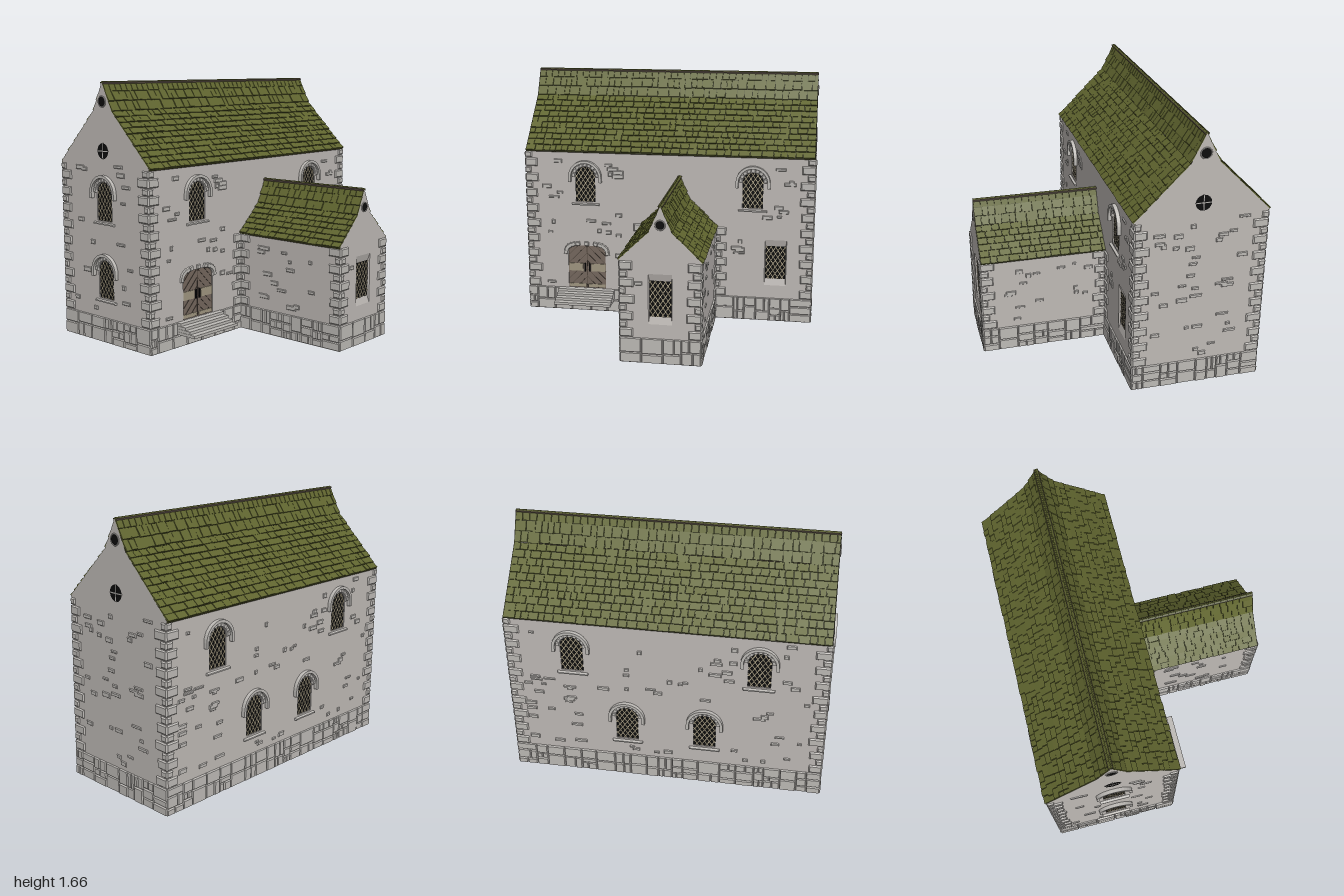
import * as THREE from 'three';
import { mergeGeometries } from 'three/addons/utils/BufferGeometryUtils.js';

const mat = (name, color, side = THREE.FrontSide) => {
  const m = new THREE.MeshStandardMaterial({ color, side });
  m.name = name;
  return m;
};
const M = {
  wall: mat('plaster', 0xbeb9b5, THREE.DoubleSide),
  stone: mat('stone', 0xbdbab6),
  tile: mat('roofTile', 0x60652f),
  under: mat('roofUnderlay', 0x4a4d26),
  soffit: mat('roofBoards', 0x6b5d52),
  glass: mat('darkGlass', 0x0c0c0c, THREE.DoubleSide),
  lead: mat('lattice', 0xb3a88c),
  door: mat('doorWood', 0x75685e, THREE.DoubleSide),
  seam: mat('doorSeam', 0x51463e),
  hinge: mat('hingeBand', 0xa09680),
};

let seed = 7;
const rnd = (a = 0, b = 1) => {
  seed = (seed * 16807) % 2147483647;
  return a + (b - a) * (seed / 2147483647);
};

function add(parent, name, list, material) {
  if (!list.length) return;
  const mesh = new THREE.Mesh(mergeGeometries(list), material);
  mesh.name = name;
  parent.add(mesh);
}

// Block lying on a wall: front face pulled in by a bevel
function block(u, v, w, h, d, angle = 0, n = 0.001, bevel = 0.004) {
  const g = new THREE.BoxGeometry(w, h, d), p = g.attributes.position;
  for (let i = 0; i < p.count; i++) if (p.getZ(i) > 0) {
    p.setX(i, p.getX(i) - Math.sign(p.getX(i)) * Math.min(bevel, w / 4));
    p.setY(i, p.getY(i) - Math.sign(p.getY(i)) * Math.min(bevel, h / 4));
  }
  g.computeVertexNormals();
  return g.rotateZ(angle).translate(u, v, n + d / 2);
}
// Thin bar set through a pane, so it shows on both sides
const bar = (u, v, w, h, d, angle, n) => new THREE.BoxGeometry(w, h, d).rotateZ(angle).translate(u, v, n);

const shapeOf = pts => new THREE.Shape(pts.map(p => new THREE.Vector2(p[0], p[1])));
const rect = (u0, u1, v0, v1) => [[u0, v0], [u1, v0], [u1, v1], [u0, v1]];
function arch(u, v, w, h, ry, power = 1) {
  const pts = [[u - w, v], [u + w, v]];
  for (let i = 0; i <= 14; i++) {
    const a = Math.PI * i / 14, c = Math.cos(a);
    pts.push([u + w * Math.sign(c) * Math.abs(c) ** power, v + h + ry * Math.abs(Math.sin(a)) ** power]);
  }
  return pts;
}
const inside = (pts, x, y) => pts.every((p, i) => {
  const q = pts[(i + 1) % pts.length];
  return (q[0] - p[0]) * (y - p[1]) - (q[1] - p[1]) * (x - p[0]) >= -1e-9;
});

// Parallel strips clipped to a convex outline
function strips(pts, angle, spacing, width, n) {
  const out = [], c = Math.cos(angle), s = Math.sin(angle);
  const cx = (pts[0][0] + pts[1][0]) / 2, cy = pts[0][1] + 0.13;
  for (let k = -12; k <= 12; k++) {
    const ox = cx - s * k * spacing, oy = cy + c * k * spacing;
    let t0 = 1, t1 = -1;
    for (let t = -0.4; t < 0.4; t += 0.003) if (inside(pts, ox + c * t, oy + s * t)) {
      t0 = Math.min(t0, t); t1 = Math.max(t1, t);
    }
    if (t1 - t0 > 0.01) out.push(bar(ox + c * (t0 + t1) / 2, oy + s * (t0 + t1) / 2, t1 - t0, width, 0.005, angle, n));
  }
  return out;
}

// Recess: reveal lofted from the wall opening to the pane
function recess(g, outer, inner, depth, material) {
  const pos = [], idx = [], k = outer.length;
  for (let i = 0; i < k; i++) {
    const j = (i + 1) % k;
    pos.push(...outer[i], 0, ...outer[j], 0, ...inner[j], -depth, ...inner[i], -depth);
    idx.push(4 * i, 4 * i + 1, 4 * i + 2, 4 * i, 4 * i + 2, 4 * i + 3);
  }
  const geo = new THREE.BufferGeometry();
  geo.setAttribute('position', new THREE.Float32BufferAttribute(pos, 3));
  geo.setIndex(idx);
  geo.computeVertexNormals();
  add(g, 'reveal', [geo], M.wall);
  add(g, 'pane', [new THREE.ShapeGeometry(shapeOf(inner)).translate(0, 0, -depth)], material);
}
const lattice = (g, pts, n) =>
  add(g, 'lattice', [...strips(pts, 0.98, 0.026, 0.005, n), ...strips(pts, -0.98, 0.026, 0.005, n)], M.lead);

const openings = {
  // Arched window with hood, voussoirs and sill
  arched(g, u, v) {
    const pts = arch(u, v, 0.069, 0.175, 0.069), top = v + 0.175, hood = [], stones = [];
    recess(g, pts, pts, 0.008, M.glass);
    lattice(g, pts, -0.008);
    const arc = (r, a) => [u + r * Math.cos(a), top + r * Math.sin(a)];
    hood.push([u + 0.097, top - 0.035], [u + 0.115, top - 0.035]);
    for (let i = 0; i <= 16; i++) hood.push(arc(0.115, Math.PI * i / 16));
    hood.push([u - 0.115, top - 0.035], [u - 0.097, top - 0.035]);
    for (let i = 16; i >= 0; i--) hood.push(arc(0.097, Math.PI * i / 16));
    add(g, 'hood', [new THREE.ExtrudeGeometry(shapeOf(hood), { depth: 0.024, bevelEnabled: false })], M.stone);
    for (let i = 0; i < 9; i++) {
      const a = Math.PI * (i + 0.5) / 9;
      stones.push(block(...arc(0.083, a), 0.026, 0.029, 0.01, a));
    }
    stones.push(block(u, v - 0.018, 0.195, 0.016, 0.016));
    add(g, 'windowStones', stones, M.stone);
    return { hole: pts, avoid: [u - 0.12, u + 0.12, v - 0.03, v + 0.3] };
  },
  // Tall window with sloping sill and head
  tall(g, u, v) {
    const outer = rect(u - 0.073, u + 0.073, v, v + 0.32), inner = rect(u - 0.067, u + 0.067, v + 0.045, v + 0.275);
    recess(g, outer, inner, 0.012, M.glass);
    lattice(g, inner, -0.012);
    return { hole: outer, avoid: [u - 0.08, u + 0.08, v - 0.02, v + 0.4] };
  },
  // Double door with hinge bands and handles
  door(g, u, v) {
    const w = 0.133, n = -0.008, pts = arch(u, v, w, 0.235, 0.075, 0.6), stones = [];
    recess(g, pts, pts, 0.008, M.door);
    const half = s => pts.map(p => [s > 0 ? Math.max(p[0], u) : Math.min(p[0], u), p[1]]);
    add(g, 'doorPlanks', [...strips(half(-1), 0.8, 0.04, 0.003, n), ...strips(half(1), -0.8, 0.04, 0.003, n),
      bar(u, v + 0.15, 0.005, 0.3, 0.006, 0, n)], M.seam);
    add(g, 'hingeBands', [-1, 1].flatMap(s => [bar(u + s * 0.08, v + 0.15, 0.1, 0.055, 0.008, 0, n),
      bar(u + s * 0.068, v + 0.018, 0.12, 0.022, 0.008, 0, n)]), M.hinge);
    add(g, 'doorHandles', [-1, 1].map(s => bar(u + s * 0.016, v + 0.15, 0.009, 0.06, 0.016, 0, n)), M.glass);
    for (let i = 0; i < 13; i++) {
      const a = Math.PI * (i + 0.5) / 13, c = Math.cos(a);
      stones.push(block(u + (w + 0.014) * Math.sign(c) * Math.abs(c) ** 0.6, v + 0.235 + 0.089 * Math.sin(a) ** 0.6, 0.03, 0.032, 0.01, a));
    }
    add(g, 'doorArch', stones, M.stone);
    return { hole: pts, avoid: [u - 0.18, u + 0.18, v, v + 0.36] };
  },
  // Round gable window
  round(g, u, v, r, cross) {
    add(g, 'roundPane', [new THREE.CircleGeometry(r, 24).translate(u, v, 0.003)], M.glass);
    if (cross) add(g, 'roundCross', [0, Math.PI / 2].map(a => bar(u, v, 2 * r, 0.006, 0.006, a, 0.003)), M.stone);
    else add(g, 'roundRim', [new THREE.TorusGeometry(r + 0.003, 0.004, 6, 24).translate(u, v, 0.002)], M.stone);
    return { avoid: [u - r, u + r, v - r, v + r] };
  },
};

// One wall in its own plane: x along, y up, z outward
function wall(parent, name, x, z, turn, { outline, items = [], spans, quoins, height }) {
  const g = new THREE.Group();
  g.name = name;
  g.position.set(x, 0, z);
  g.rotation.y = turn;
  parent.add(g);
  const shape = shapeOf(outline), keepOut = [];
  for (const [kind, ...args] of items) {
    const o = openings[kind](g, ...args);
    if (o.hole) shape.holes.push(new THREE.Path(o.hole.map(p => new THREE.Vector2(...p))));
    keepOut.push(o.avoid);
  }
  add(g, 'wallFace', [new THREE.ShapeGeometry(shape)], M.wall);
  const plinth = [], corner = [], bricks = [];
  for (const [a, b] of spans) {
    // Plinth of uneven stones, two or three high
    for (let u = a - 0.007; u < b;) {
      let w = rnd(0.06, 0.14);
      if (u + w > b - 0.05) w = b + 0.007 - u;
      const rows = rnd() < 0.5 ? [0, rnd(0.06, 0.1), 0.165] : [0, rnd(0.04, 0.06), rnd(0.09, 0.12), 0.165];
      for (let r = 0; r < rows.length - 1; r++) {
        const h = rows[r + 1] - rows[r], cut = rnd() < 0.4 ? rnd(0.35, 0.65) * w : w;
        for (const [c0, c1] of cut < w ? [[0, cut], [cut, w]] : [[0, w]])
          plinth.push(block(u + (c0 + c1) / 2, rows[r] + h / 2, c1 - c0 - 0.003, h - 0.003, rnd(0.007, 0.012)));
      }
      u += w;
    }
    // Scattered bricks
    const count = Math.round((b - a) * (height - 0.2) * 42);
    for (let i = 0; i < count; i++) {
      const u = rnd(a + 0.11, b - 0.11), v = rnd(0.2, height - 0.04), w = rnd(0.025, 0.08), h = rnd(0.016, 0.032);
      if (keepOut.some(r => u + w / 2 > r[0] && u - w / 2 < r[1] && v + h > r[2] && v - h < r[3])) continue;
      bricks.push(block(u, v, w, h, 0.006));
    }
  }
  // Quoins, long and short in turn
  for (const [u, dir, top] of quoins) {
    const n = Math.round((top - 0.17) / 0.054), h = (top - 0.17) / n;
    for (let i = 0; i < n; i++) {
      const w = (i % 2 ? 0.05 : 0.09) + rnd(-0.01, 0.01), k = i % 2 ? 0.8 : 1.1;
      corner.push(block(u + dir * (w / 2 - 0.008), 0.17 + (i + 0.5) * h, w, h * k - 0.003, 0.009, 0, 0.001, 0.007));
    }
  }
  add(g, 'plinthStones', plinth, M.stone);
  add(g, 'quoins', corner, M.stone);
  add(g, 'bricks', bricks, M.stone);
}

// Steep-topped roof: ridge along local x, profile from eave to ridge
function roof(parent, name, profile, length) {
  const g = new THREE.Group();
  g.name = name;
  for (const turn of [0, Math.PI]) {
    const tiles = [], under = [], boards = [];
    for (let s = 0; s < 2; s++) {
      const [z0, y0] = profile[s], [z1, y1] = profile[s + 1];
      const run = Math.hypot(z0 - z1, y1 - y0), a = Math.atan2(y1 - y0, z0 - z1);
      const place = (geo, x, t, lift) => geo.translate(x,
        y0 + (y1 - y0) * t + lift * Math.cos(a), z0 + (z1 - z0) * t + lift * Math.sin(a)).rotateY(turn);
      under.push(place(new THREE.BoxGeometry(length, 0.005, run).rotateX(a), 0, 0.5, -0.011));
      boards.push(place(new THREE.BoxGeometry(length, 0.003, run).rotateX(a), 0, 0.5, -0.015));
      const rows = s ? 3 : Math.round(run / 0.046), rl = run / rows;
      for (let r = 0; r < rows; r++) {
        const ridge = s === 1 && r === rows - 1;
        for (let x = -length / 2; x < length / 2 - 0.005;) {
          let w = ridge ? 0.045 : rnd(0.035, 0.08);
          if (x + w > length / 2 - 0.02) w = length / 2 - x;
          const len = rl * (ridge ? 0.98 : rnd(0.9, 1.06));
          const geo = new THREE.BoxGeometry(w - 0.003, 0.009, len).rotateX(a - (ridge ? 0 : rnd(0.08, 0.18)));
          tiles.push(place(geo, x + w / 2, (r + 0.5) / rows, ridge ? -0.004 : rnd(-0.006, -0.001)));
          x += w;
        }
      }
    }
    add(g, 'roofTiles', tiles, M.tile);
    add(g, 'roofUnderlay', under, M.under);
    add(g, 'roofBoards', boards, M.soffit);
  }
  parent.add(g);
  return g;
}

export function createModel() {
  const model = new THREE.Group();
  model.name = 'stoneHouse';
  const H = Math.PI / 2, X = 0.98, Z = -0.405, D = 0.407;

  // Main house
  wall(model, 'frontWall', 0, Z + D, 0, {
    outline: [[-X, 0], [-0.16, 0], [-0.16, 0.65], [0.015, 0.82], [0.085, 0.975], [0.155, 0.82], [0.33, 0.65], [0.33, 0], [X, 0], [X, 1.145], [-X, 1.145]],
    items: [['arched', -0.568, 0.79], ['arched', 0.575, 0.79], ['tall', 0.737, 0.255], ['door', -0.568, 0.165]],
    spans: [[-X, -0.16], [0.33, X]], height: 1.14,
    quoins: [[-X, 1, 1.14], [X, -1, 1.14], [-0.16, -1, 0.65], [0.33, 1, 0.65]],
  });
  wall(model, 'backWall', 0, Z - D, Math.PI, {
    outline: rect(-X, X, 0, 1.145),
    items: [['arched', -0.575, 0.79], ['arched', 0.57, 0.79], ['arched', -0.247, 0.29], ['arched', 0.245, 0.29]],
    spans: [[-X, X]], height: 1.14, quoins: [[-X, 1, 1.14], [X, -1, 1.14]],
  });
  for (const s of [1, -1]) wall(model, s > 0 ? 'leftGable' : 'rightGable', s * X, Z, s * H, {
    outline: [[-D, 0], [D, 0], [D, 1.14], [0.42, 1.142], [0.089, 1.475], [0, 1.653], [-0.089, 1.475], [-0.42, 1.142], [-D, 1.14]],
    items: [['round', 0, 1.535, 0.03, false], ['round', 0, 1.23, 0.05, true],
      ...(s < 0 ? [['arched', 0, 0.79], ['arched', 0, 0.29]] : [])],
    spans: [[-D, D]], height: 1.18, quoins: [[-D, 1, 1.14], [D, -1, 1.14]],
  });
  roof(model, 'mainRoof', [[0.423, 1.145], [0.09, 1.48], [0, 1.66]], 1.957).position.z = Z;

  // Front wing
  const W = 0.245, C = 0.085, L = 0.82;
  wall(model, 'wingFront', C, L, 0, {
    outline: [[-W, 0], [W, 0], [W, 0.652], [0.257, 0.654], [0.071, 0.833], [0, 0.993], [-0.071, 0.833], [-0.257, 0.654], [-W, 0.652]],
    items: [['tall', 0, 0.255], ['round', 0, 0.88, 0.026, false]],
    spans: [[-W, W]], height: 0.66, quoins: [[-W, 1, 0.65], [W, -1, 0.65]],
  });
  for (const s of [1, -1]) wall(model, s > 0 ? 'wingLeftWall' : 'wingRightWall', C + s * W, L / 2, s * H, {
    outline: rect(-L / 2, L / 2, 0, 0.655), spans: [[-L / 2, L / 2]], height: 0.64,
    quoins: [[-L / 2, 1, 0.65], [L / 2, -1, 0.65]],
  });
  const wing = roof(model, 'wingRoof', [[0.26, 0.657], [0.072, 0.838], [0, 1.0]], 0.816);
  wing.rotation.y = H;
  wing.position.set(C, 0, 0.411);

  // Door steps
  const steps = [];
  for (let i = 0; i < 4; i++) steps.push(new THREE.BoxGeometry(0.395, 0.018, 0.04 * (i + 1)).translate(-0.57, 0.156 - i * 0.019, 0.005 + 0.02 * (i + 1)));
  add(model, 'doorSteps', steps, M.stone);
  return model;
}
